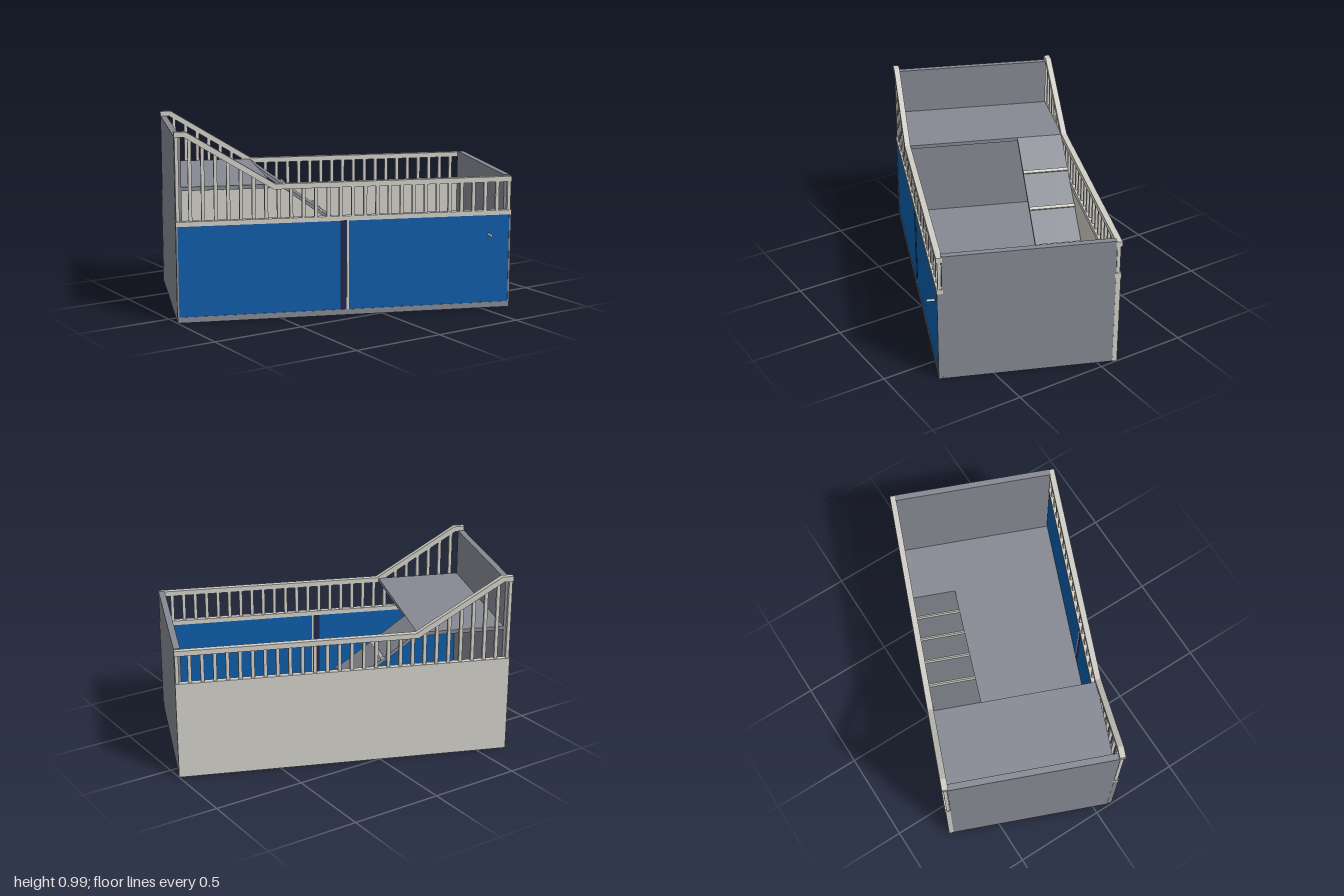
import * as THREE from 'three';

const grey = new THREE.MeshStandardMaterial({ color: 0x868992 });
grey.name = 'slate grey';
const cream = new THREE.MeshStandardMaterial({ color: 0xd0cec6 });
cream.name = 'warm white';
const blue = new THREE.MeshStandardMaterial({ color: 0x0d5ca8 });
blue.name = 'door blue';
const navy = new THREE.MeshStandardMaterial({ color: 0x20264a });
navy.name = 'dark navy';

const L = 0.89, W = 0.465; // half length and half width

export function createModel() {
  const model = new THREE.Group();
  model.name = 'playPen';
  const body = new THREE.Group();
  body.name = 'body';
  body.rotation.y = -THREE.MathUtils.degToRad(22);
  model.add(body);

  // box given by its limits on each axis
  const box = (name, mat, x0, x1, y0, y1, z0, z1, parent = body) => {
    const m = new THREE.Mesh(new THREE.BoxGeometry(x1 - x0, y1 - y0, z1 - z0), mat);
    m.position.set((x0 + x1) / 2, (y0 + y1) / 2, (z0 + z1) / 2);
    m.name = name;
    parent.add(m);
    return m;
  };
  // profile in the length/height plane, extruded across the width
  const slab = (name, mat, pts, z0, z1, parent = body) => {
    const shape = new THREE.Shape(pts.map(([x, y]) => new THREE.Vector2(x, y)));
    const geo = new THREE.ExtrudeGeometry(shape, { depth: z1 - z0, bevelEnabled: false });
    geo.translate(0, 0, z0);
    const m = new THREE.Mesh(geo, mat);
    m.name = name;
    parent.add(m);
    return m;
  };

  // floor, end panels and back wall
  box('floor', grey, -L + 0.002, L - 0.002, 0, 0.03, -0.44, W);
  box('lowEndPanel', grey, L - 0.035, L - 0.001, 0.001, 0.715, -0.44, 0.44);
  box('highEndPanel', grey, -L + 0.001, -L + 0.035, 0.001, 0.965, -0.44, 0.44);
  box('backWall', cream, -L, L, 0, 0.505, -W, -0.44);

  // front frame with two doors
  for (const s of [-1, 1]) {
    const inner = s * (L - 0.01);
    box('frontPost', grey, Math.min(inner, s * L), Math.max(inner, s * L), 0.03, 0.505, 0.44, W);
  }
  box('leftDoor', blue, -L + 0.01, -0.035, 0.03, 0.505, 0.442, 0.462);
  box('rightDoor', blue, 0.01, L - 0.01, 0.03, 0.505, 0.442, 0.462);
  box('doorGapPost', navy, -0.035, -0.001, 0.03, 0.505, 0.442, 0.458);
  box('doorGapTrim', cream, -0.001, 0.01, 0.03, 0.505, 0.442, 0.46);

  // door handle
  const handle = new THREE.Mesh(new THREE.CylinderGeometry(0.007, 0.007, 0.045, 12), cream);
  handle.rotation.x = Math.PI / 2;
  handle.position.set(0.77, 0.4, 0.482);
  handle.name = 'doorHandle';
  body.add(handle);

  // railings, stepping up beside the platform
  const bendX = -0.375, topX = -0.83, lowY = 0.71, highY = 0.99, thick = 0.028;
  const railTop = x => x > bendX ? lowY
    : Math.min(highY, lowY + (highY - lowY) * (bendX - x) / (bendX - topX));
  for (const side of [-1, 1]) {
    const railing = new THREE.Group();
    railing.name = side > 0 ? 'frontRailing' : 'backRailing';
    body.add(railing);
    const zMin = side > 0 ? 0.435 : -0.467, zMax = side > 0 ? 0.467 : -0.435;
    box('bottomRail', cream, -L, L, 0.505, 0.53, zMin, zMax, railing);
    slab('handRail', cream, [
      [L, lowY - thick], [L, lowY], [bendX, lowY], [topX, highY], [-L, highY],
      [-L, highY - thick], [topX - 0.01, highY - thick], [bendX - 0.01, lowY - thick],
    ], zMin, zMax, railing);
    const count = 28;
    for (let i = 0; i < count; i++) {
      const x = -L + 0.012 + i * (2 * L - 0.024) / (count - 1);
      box('baluster', cream, x - 0.009, x + 0.009, 0.53, railTop(x) - thick + 0.006,
        side * 0.451 - 0.009, side * 0.451 + 0.009, railing);
    }
  }

  // raised platform
  const px = -0.385, py = 0.705;
  box('platform', grey, -L + 0.035, px, py - 0.02, py, -0.44, 0.44);

  // ramp with cross cleats
  const endX = 0.54, endY = 0.03;
  slab('ramp', grey, [[px, py - 0.022], [endX - 0.03, endY], [endX, endY], [px, py]], -0.437, -0.18);
  const slope = Math.atan2(endY - py, endX - px);
  for (let i = 1; i < 5; i++) {
    const t = i / 5;
    const cleat = new THREE.Mesh(new THREE.BoxGeometry(0.018, 0.014, 0.257), cream);
    cleat.position.set(px + (endX - px) * t, py + (endY - py) * t + 0.004, -0.3085);
    cleat.rotation.z = slope;
    cleat.name = 'rampCleat';
    body.add(cleat);
  }
  return model;
}
